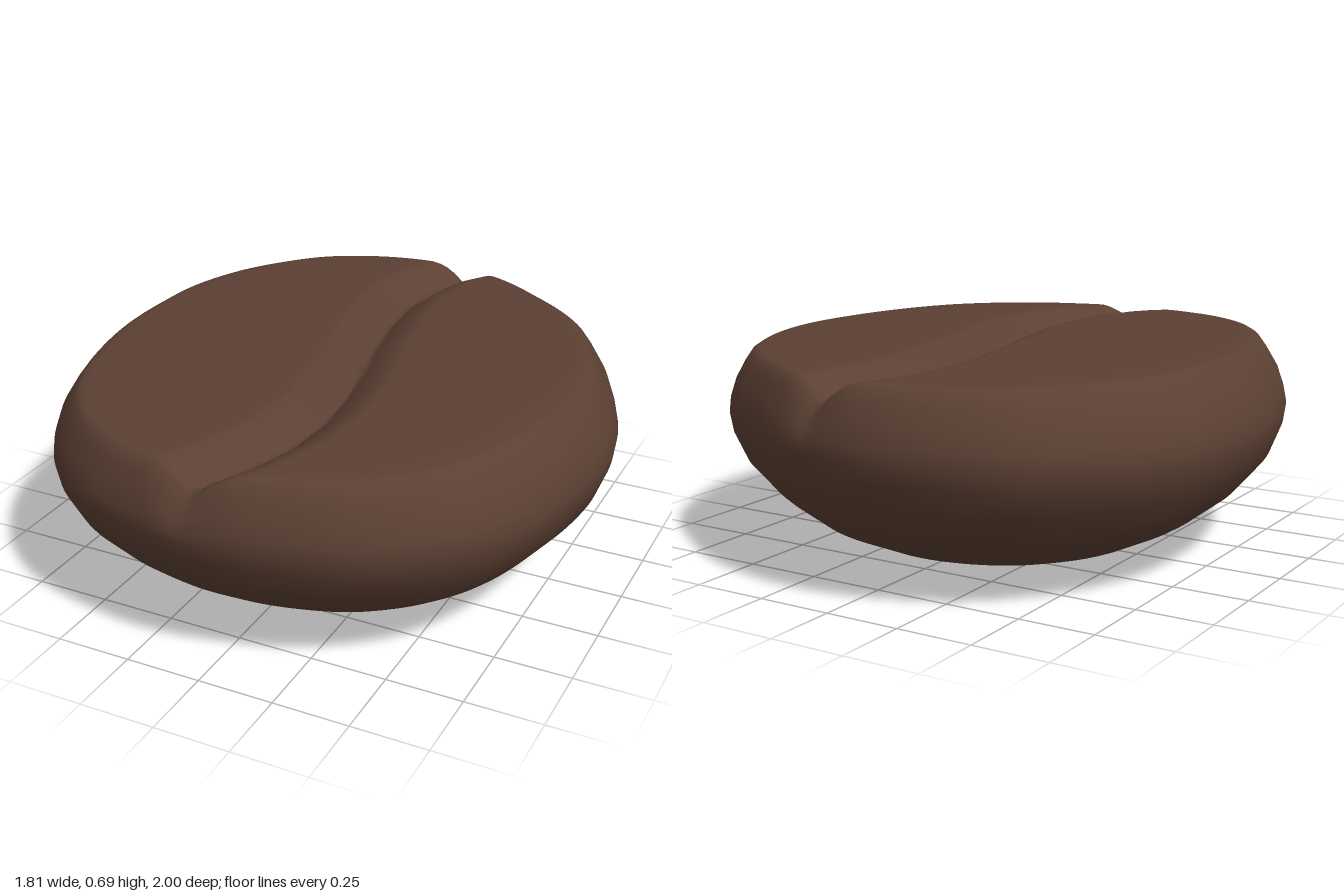
import * as THREE from 'three';

const SEGMENTS = 192;
const TOP_RINGS = 36;

// Slightly skewed oval plan outline (x, z), clockwise seen from above
const OUTLINE = [
  [0.905, -0.08], [0.9, 0.1], [0.865, 0.31], [0.8, 0.51], [0.71, 0.67], [0.59, 0.79], [0.44, 0.89], [0.28, 0.95],
  [0.1, 0.99], [-0.07, 0.998], [-0.25, 0.97], [-0.42, 0.92], [-0.58, 0.82], [-0.7, 0.69], [-0.8, 0.51], [-0.86, 0.32],
  [-0.9, 0.1], [-0.905, -0.11], [-0.88, -0.34], [-0.8, -0.55], [-0.69, -0.71], [-0.55, -0.85], [-0.38, -0.94],
  [-0.2, -0.99], [-0.04, -1], [0.14, -0.97], [0.3, -0.91], [0.45, -0.82], [0.59, -0.72], [0.71, -0.6], [0.8, -0.45],
  [0.87, -0.27],
];

// Rounded underside up to the rim: height, width scale, length scale
const PROFILE = [
  [0.005, 0.18, 0.18], [0.02, 0.37, 0.36], [0.06, 0.59, 0.57], [0.13, 0.745, 0.73], [0.21, 0.86, 0.84],
  [0.31, 0.955, 0.93], [0.4, 0.992, 0.98], [0.46, 1, 0.995], [0.51, 0.985, 1], [0.57, 0.96, 0.985],
  [0.63, 0.915, 0.965], [0.665, 0.885, 0.945], [0.677, 0.865, 0.925],
];

// S-shaped path of the crease: z, x
const CREASE = [
  [-1, 0.11], [-0.93, 0.07], [-0.8, 0], [-0.6, -0.035], [-0.4, -0.02], [-0.2, 0.015], [0, 0.06],
  [0.2, 0.1], [0.4, 0.12], [0.6, 0.105], [0.8, 0.045], [0.93, -0.025], [1, -0.06],
];

function creaseX(z) {
  let i = 0;
  while (i < CREASE.length - 2 && z > CREASE[i + 1][0]) i++;
  const [z0, x0] = CREASE[i];
  const [z1, x1] = CREASE[i + 1];
  return x0 + (x1 - x0) * THREE.MathUtils.clamp((z - z0) / (z1 - z0), 0, 1);
}

// Depth of the V-shaped crease, fading out down the side
function creaseDepth(x, y, z) {
  const t = Math.min(1, Math.abs(x - creaseX(z)) / 0.14);
  return 0.08 * Math.pow(1 - t, 1.5) * THREE.MathUtils.smoothstep(y, 0.45, 0.66);
}

function beanGeometry() {
  const curve = new THREE.CatmullRomCurve3(OUTLINE.map(([x, z]) => new THREE.Vector3(x, 0, z)), true);
  const plan = curve.getSpacedPoints(SEGMENTS).slice(0, SEGMENTS);

  // Flat top continues the profile inwards from the rim
  const rings = PROFILE.slice();
  for (let k = 1; k < TOP_RINGS; k++) {
    const s = 1 - k / TOP_RINGS;
    rings.push([0.685 - 0.008 * s ** 6, 0.865 * s, 0.925 * s]);
  }

  const positions = [];
  const indices = [];
  const addPoint = (x, y, z) => positions.push(x, y - creaseDepth(x, y, z), z);
  for (const [y, sx, sz] of rings) for (const p of plan) addPoint(p.x * sx, y, p.z * sz);
  const bottom = rings.length * SEGMENTS;
  const top = bottom + 1;
  addPoint(0, 0, 0);
  addPoint(0, 0.685, 0);

  const last = (rings.length - 1) * SEGMENTS;
  for (let i = 0; i < SEGMENTS; i++) {
    const j = (i + 1) % SEGMENTS;
    indices.push(bottom, i, j, last + i, top, last + j);
    for (let r = 0; r < last; r += SEGMENTS) {
      const n = r + SEGMENTS;
      indices.push(r + i, n + i, r + j, r + j, n + i, n + j);
    }
  }

  const geometry = new THREE.BufferGeometry();
  geometry.setAttribute('position', new THREE.Float32BufferAttribute(positions, 3));
  geometry.setIndex(indices);
  geometry.computeVertexNormals();
  return geometry;
}

export function createModel() {
  const roast = new THREE.MeshStandardMaterial({ color: 0x5c4033 });
  roast.name = 'roasted brown';
  const bean = new THREE.Mesh(beanGeometry(), roast);
  bean.name = 'bean';
  const group = new THREE.Group();
  group.name = 'coffeeBean';
  group.add(bean);
  return group;
}
